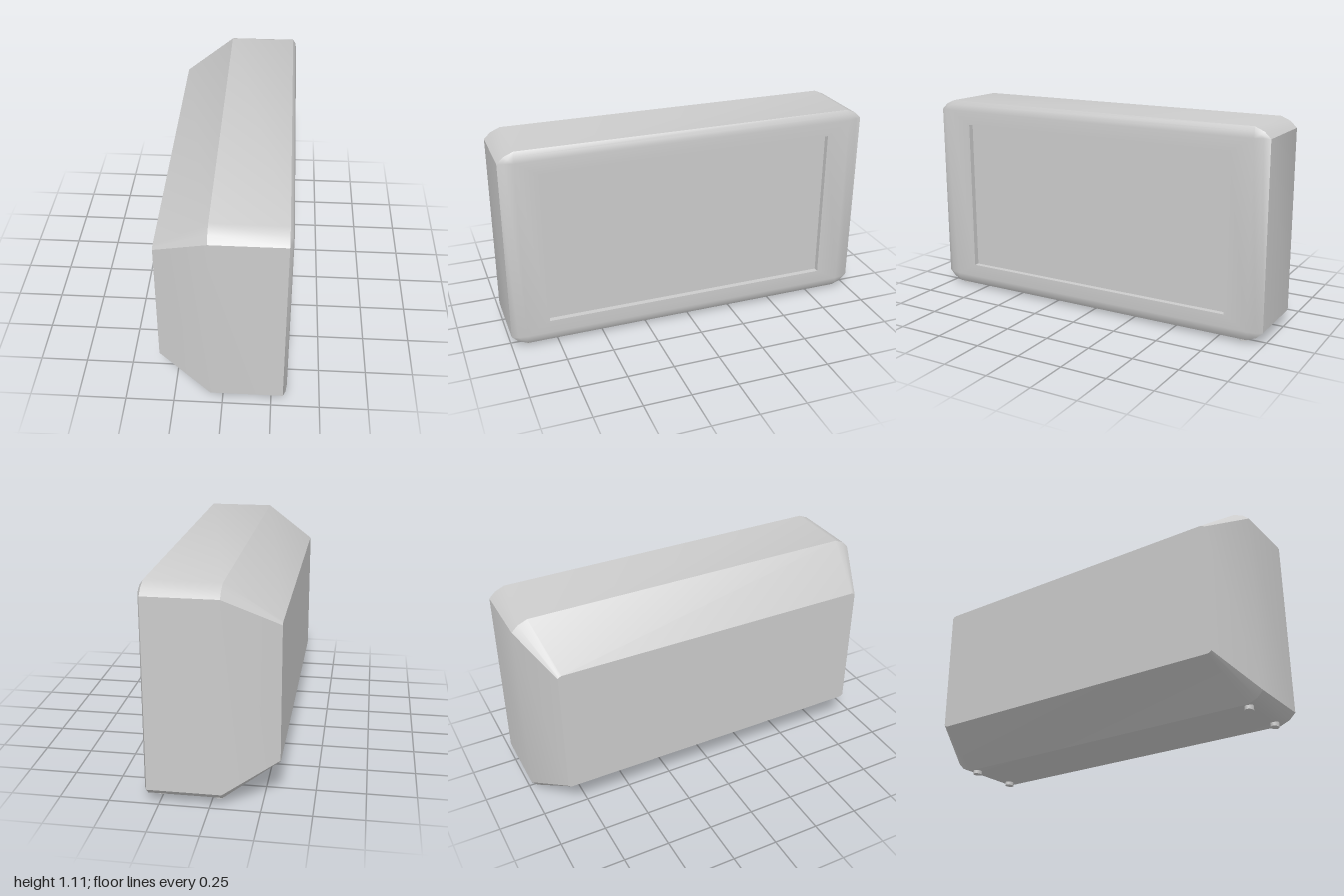
import * as THREE from 'three';
import { toCreasedNormals } from 'three/addons/utils/BufferGeometryUtils.js';

const material = new THREE.MeshStandardMaterial({ color: 0xcccccc });

// Rectangle in the zy plane at x, with softened corners cz by cy; three points per corner
function section(x, halfZ, y0, y1, cz, cy) {
  const points = [];
  const corners = [[-1, 1], [1, 1], [1, -1], [-1, -1]];
  corners.forEach(([sz, sy], k) => {
    const y = sy > 0 ? y1 : y0;
    const corner = [[0, cy], [cz * 0.4, cy * 0.4], [cz, 0]].map(
      ([dz, dy]) => new THREE.Vector3(x, y - sy * dy, sz * (halfZ - dz)));
    if (k % 2) corner.reverse();
    points.push(...corner);
  });
  return points;
}

// Skin through the sections, closed at both ends
function loft(sections, crease) {
  const positions = [];
  const normal = new THREE.Vector3();
  const tri = (a, b, c) => {
    new THREE.Triangle(a, b, c).getNormal(normal);
    if (normal.lengthSq() < 0.5) return;
    for (const p of [a, b, c]) positions.push(p.x, p.y, p.z);
  };
  const n = sections[0].length;
  for (let s = 0; s < sections.length - 1; s++) {
    for (let i = 0; i < n; i++) {
      const j = (i + 1) % n;
      const [a, b] = [sections[s][i], sections[s][j]];
      const [d, c] = [sections[s + 1][i], sections[s + 1][j]];
      tri(a, b, c);
      tri(a, c, d);
    }
  }
  const back = sections[0];
  const front = sections[sections.length - 1];
  for (let i = 1; i < n - 1; i++) {
    tri(back[0], back[i + 1], back[i]);
    tri(front[0], front[i], front[i + 1]);
  }
  const geometry = new THREE.BufferGeometry();
  geometry.setAttribute('position', new THREE.Float32BufferAttribute(positions, 3));
  return toCreasedNormals(geometry, crease);
}

export function createModel() {
  const model = new THREE.Group();
  model.name = 'displayUnit';

  // Housing: tapered back, straight middle, bevelled rim and recessed screen panel
  const housing = new THREE.Mesh(loft([
    section(-0.33, 0.875, 0.205, 0.92, 0.02, 0.012),
    section(-0.06, 1, 0.02, 1.11, 0.085, 0.055),
    section(0.31, 1, 0.02, 1.11, 0.085, 0.055),
    section(0.324, 0.967, 0.042, 1.088, 0.045, 0.03),
    section(0.33, 0.92, 0.072, 1.055, 0, 0),
    section(0.33, 0.795, 0.142, 0.98, 0, 0),
    section(0.3, 0.795, 0.142, 0.98, 0, 0),
  ], 0.6), material);
  housing.name = 'housing';
  model.add(housing);

  // Four short feet
  const footGeometry = new THREE.CylinderGeometry(1, 1, 0.03, 20);
  for (const x of [-0.028, 0.258]) {
    for (const z of [0.905, -0.88]) {
      const foot = new THREE.Mesh(footGeometry, material);
      foot.name = 'foot';
      foot.scale.set(0.028, 1, 0.022);
      foot.position.set(x, 0.015, z);
      model.add(foot);
    }
  }
  return model;
}
